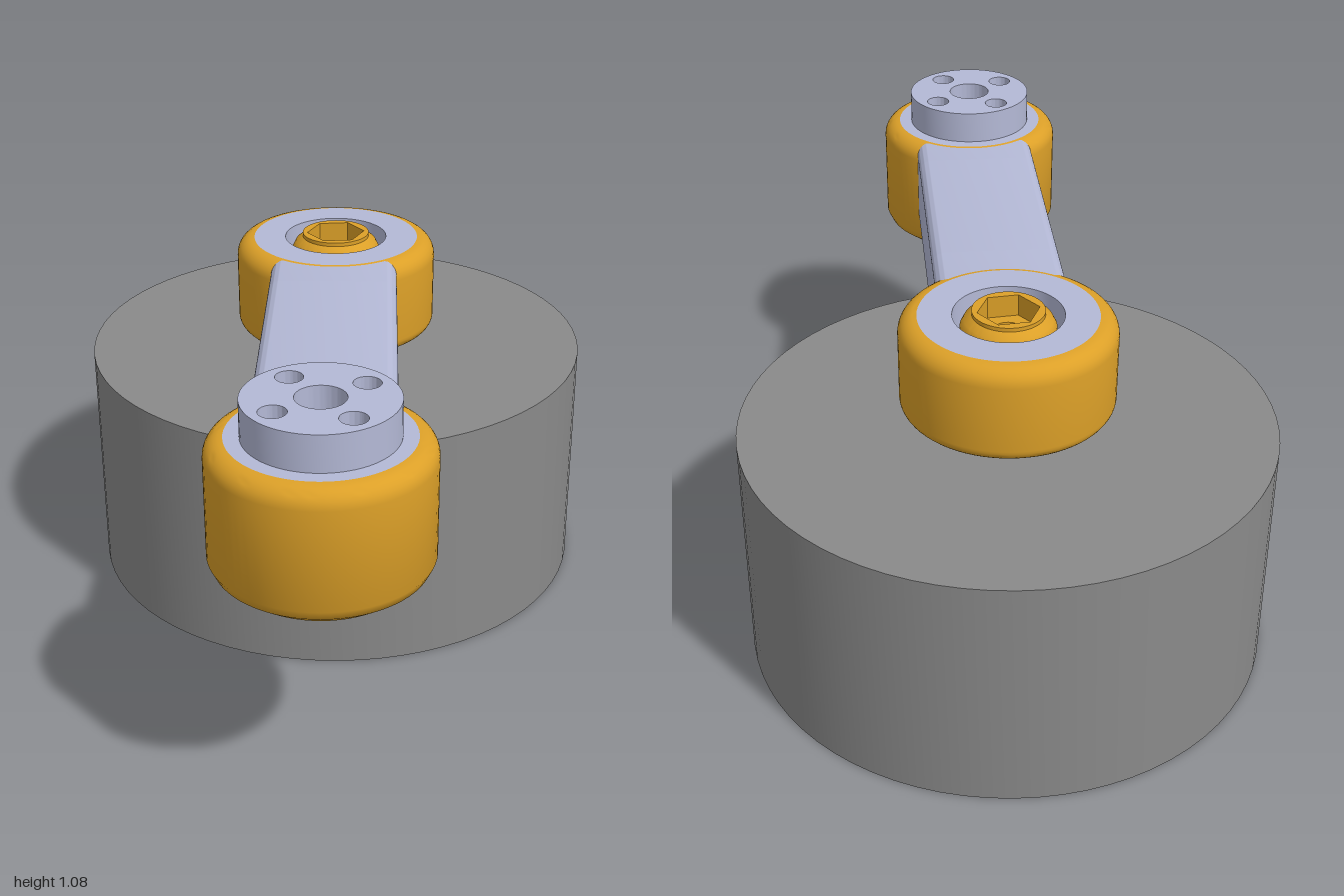
import * as THREE from 'three';
import { toCreasedNormals } from 'three/addons/utils/BufferGeometryUtils.js';

const GOLD = new THREE.MeshStandardMaterial({ color: 0xdca028 });
const BLUE = new THREE.MeshStandardMaterial({ color: 0xb4b9d6 });
const DARK = new THREE.MeshStandardMaterial({ color: 0x8a8a8a });

const PIVOT = [-0.285, -0.15];
const TIP = [0.732, 0.593];

function part(name, geometry, material) {
  const mesh = new THREE.Mesh(geometry, material);
  mesh.name = name;
  return mesh;
}

// Turned part: [radius, y] points, running out along the bottom, up, and back in
function turned(name, points, material) {
  const profile = points.map(([r, y]) => new THREE.Vector2(r, y));
  return part(name, toCreasedNormals(new THREE.LatheGeometry(profile, 72), 0.5), material);
}

// Points of a quarter round with centre (r, y), from angle a to a + 90 degrees
function quarter(r, y, radius, a) {
  return Array.from({ length: 8 }, (_, i) => {
    const t = a + (i / 7) * Math.PI / 2;
    return [r + radius * Math.cos(t), y + radius * Math.sin(t)];
  });
}

function circle(x, y, r) {
  return new THREE.Path().absarc(x, y, r, 0, Math.PI * 2, true);
}

// Round plate with vertical holes, standing on y
function plate(name, radius, holes, y, height, material) {
  const shape = new THREE.Shape().absarc(0, 0, radius, 0, Math.PI * 2, false);
  shape.holes.push(...holes);
  const g = new THREE.ExtrudeGeometry(shape, { depth: height, bevelEnabled: false, curveSegments: 36 });
  g.rotateX(-Math.PI / 2).translate(0, y, 0);
  return part(name, toCreasedNormals(g, 0.5), material);
}

// Arm cross-section, solid or with a channel open at the bottom
function armSection(channel) {
  const w = 0.175, b = 0.722, t = 0.987, f = 0.035, c = 0.115, top = 0.9;
  const s = new THREE.Shape();
  s.moveTo(c, b);
  s.lineTo(w - f, b);
  s.absarc(w - f, b + f, f, -Math.PI / 2, 0, false);
  s.absarc(w - f, t - f, f, 0, Math.PI / 2, false);
  s.absarc(-w + f, t - f, f, Math.PI / 2, Math.PI, false);
  s.absarc(-w + f, b + f, f, Math.PI, Math.PI * 1.5, false);
  s.lineTo(-c, b);
  if (channel) {
    s.lineTo(-c, top);
    s.lineTo(c, top);
  }
  s.closePath();
  return s;
}

function armPiece(name, from, to, channel) {
  const g = new THREE.ExtrudeGeometry(armSection(channel), { depth: to - from, bevelEnabled: false, curveSegments: 8 });
  g.translate(0, 0, from);
  return part(name, toCreasedNormals(g, 0.5), BLUE);
}

export function createModel() {
  const model = new THREE.Group();

  // Drum with a ring groove and a countersunk centre hole underneath
  const base = new THREE.Group();
  base.name = 'base';
  base.position.set(PIVOT[0], 0, PIVOT[1]);
  base.add(turned('drum', [
    [0, 0.1], [0.04, 0.1], [0.04, 0.055], [0.085, 0.055], [0.126, 0.012],
    [0.46, 0.012], [0.46, 0.06], [0.5, 0.06], [0.538, 0],
    [0.715, 0], [0.715, 0.665], [0, 0.665],
  ], DARK));
  base.add(turned('pivotStem', [[0.125, 0.66], [0.125, 0.91]], GOLD));
  model.add(base);

  // Pivot boss: rounded gold shell, flat top with a pit, and a socket bolt
  const pivot = new THREE.Group();
  pivot.name = 'pivotBoss';
  pivot.position.copy(base.position);
  pivot.add(turned('pivotShell', [
    [0.12, 0.72], ...quarter(0.25, 0.755, 0.035, -Math.PI / 2), ...quarter(0.235, 0.938, 0.05, 0),
  ], GOLD));
  pivot.add(turned('pivotTop', [[0.235, 0.988], [0.145, 0.988], [0.145, 0.9], [0.1, 0.9]], BLUE));
  pivot.add(turned('boltFlange', [[0.125, 0.9], [0.125, 0.955], [0.115, 0.975], [0.094, 0.99]], GOLD));
  const hex = new THREE.Path();
  hex.setFromPoints(Array.from({ length: 6 }, (_, i) => {
    const a = -i * Math.PI / 3;
    return new THREE.Vector2(0.082 * Math.cos(a), 0.082 * Math.sin(a));
  }));
  hex.closePath();
  pivot.add(plate('boltSocket', 0.095, [hex], 0.93, 0.07, GOLD));
  pivot.add(plate('boltFloor', 0.09, [circle(0, 0, 0.04)], 0.91, 0.03, GOLD));
  pivot.add(turned('boltBore', [[0.045, 0.915], [0, 0.915]], DARK));
  model.add(pivot);

  // Arm, channelled underneath between its solid ends
  const dx = TIP[0] - PIVOT[0], dz = TIP[1] - PIVOT[1];
  const length = Math.hypot(dx, dz);
  const arm = new THREE.Group();
  arm.name = 'arm';
  arm.position.copy(base.position);
  arm.rotation.y = Math.atan2(dx, dz);
  arm.add(armPiece('armRoot', 0.157, 0.35, false));
  arm.add(armPiece('armChannel', 0.35, length - 0.31, true));
  arm.add(armPiece('armEnd', length - 0.31, length - 0.133, false));
  model.add(arm);

  // Tip boss: gold shell, chamfered and hollow below, with a drilled post on top
  const tip = new THREE.Group();
  tip.name = 'tipBoss';
  tip.position.set(TIP[0], 0, TIP[1]);
  tip.add(turned('tipShell', [
    [0.145, 0.72], [0.15, 0.69], [0.185, 0.635], [0.215, 0.635], [0.255, 0.665], [0.267, 0.69],
    ...quarter(0.22, 0.941, 0.047, 0),
  ], GOLD));
  tip.add(turned('tipTop', [[0.22, 0.988], [0, 0.988]], BLUE));
  tip.add(turned('tipHollowFloor', [[0, 0.719], [0.15, 0.719]], BLUE));
  const holes = [circle(0, 0, 0.06)];
  for (let i = 0; i < 4; i++) {
    const x = 0.127 * Math.cos(i * Math.PI / 2), z = 0.127 * Math.sin(i * Math.PI / 2);
    holes.push(circle(x, z, 0.033));
    const floor = turned('screwHoleFloor', [[0.036, 0.993], [0, 0.993]], GOLD);
    floor.position.set(x, 0, z);
    tip.add(floor);
  }
  tip.add(plate('post', 0.183, holes, 0.985, 0.095, BLUE));
  model.add(tip);

  return model;
}
